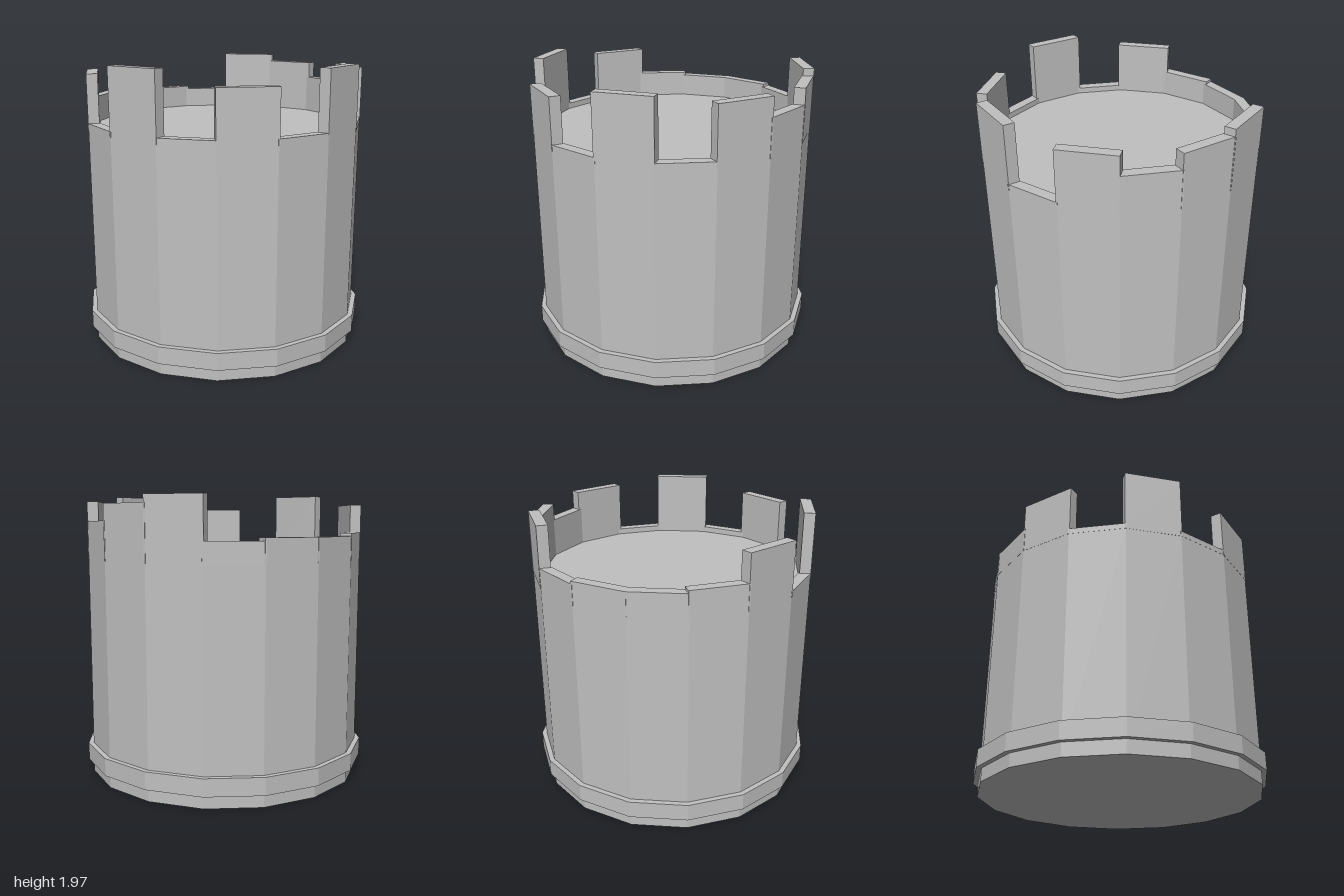
import * as THREE from 'three';

export function createModel() {
  const model = new THREE.Group();
  model.name = 'castleTower';

  const stone = new THREE.MeshStandardMaterial({ color: 0xc0c0c0, flatShading: true });
  stone.name = 'stone grey';

  const SIDES = 16;
  const RADIUS = 0.965;
  const FLOOR = 1.52;

  function drum(name, radius, bottom, top) {
    const mesh = new THREE.Mesh(
      new THREE.CylinderGeometry(radius, radius, top - bottom, SIDES), stone);
    mesh.position.y = (bottom + top) / 2;
    mesh.name = name;
    model.add(mesh);
  }

  // Tower body with its flat roof floor, and the raised band near the base
  drum('towerBody', RADIUS, 0, FLOOR);
  drum('baseBand', 1, 0.09, 0.21);

  // Parapet: one slab per side, top heights run from +x towards +z
  const tops = [1.91, 1.56, 1.96, 1.56, 1.87, 1.56, 1.97, 1.56,
    1.89, 1.70, 1.68, 1.68, 1.66, 1.94, 1.89, 1.78];
  const thickness = 0.075;
  const width = 0.387;
  const outer = RADIUS * Math.cos(Math.PI / SIDES) + 0.001;
  const parapet = new THREE.Group();
  parapet.name = 'parapet';
  tops.forEach((top, i) => {
    const angle = (i + 0.5) * 2 * Math.PI / SIDES;
    const height = top - FLOOR;
    const slab = new THREE.Mesh(new THREE.BoxGeometry(width, height, thickness), stone);
    const r = outer - thickness / 2;
    slab.position.set(r * Math.cos(angle), FLOOR + height / 2, r * Math.sin(angle));
    slab.rotation.y = Math.PI / 2 - angle;
    slab.name = top > 1.8 ? 'merlon' : 'lowWall';
    parapet.add(slab);
  });
  model.add(parapet);

  return model;
}
